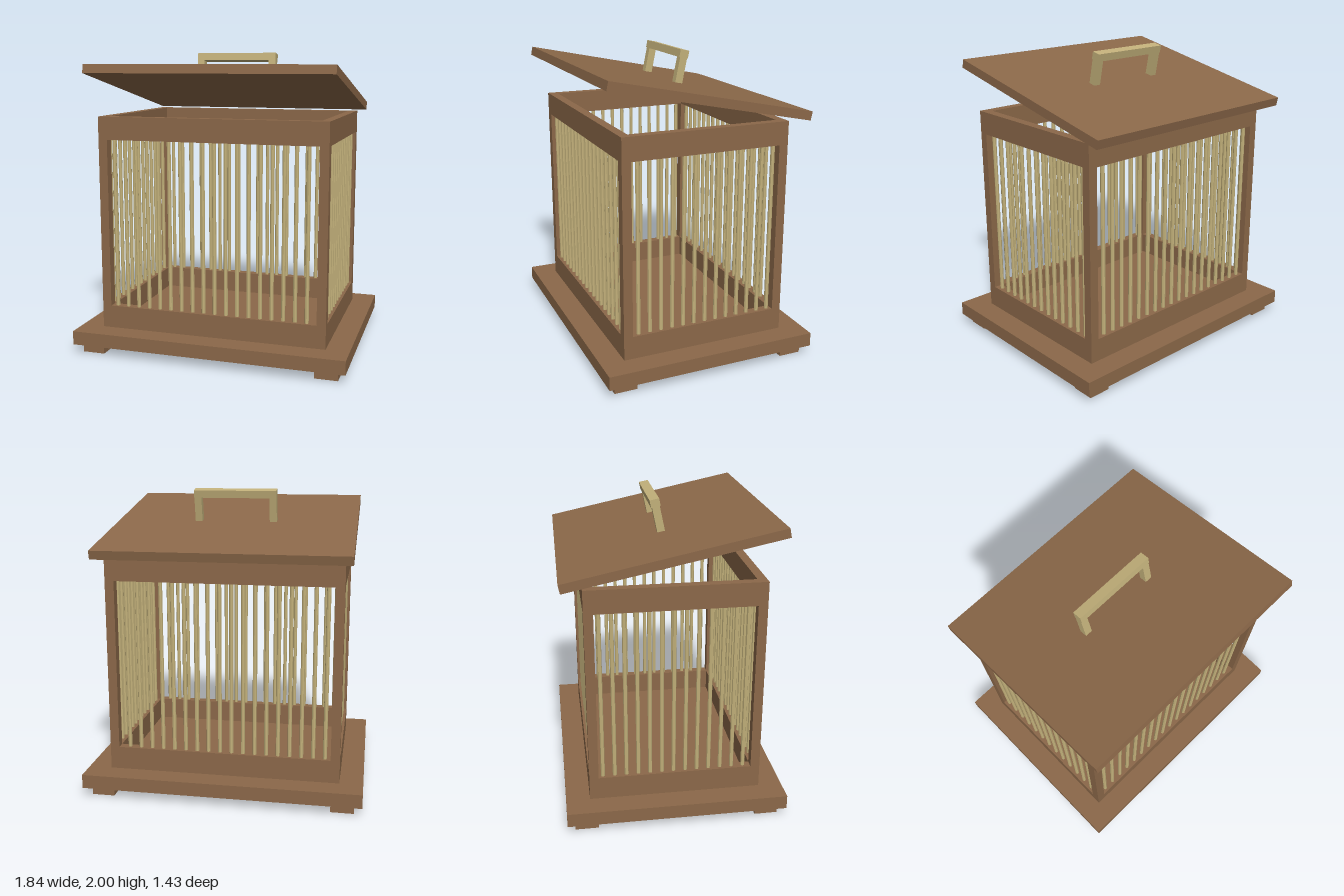
import * as THREE from 'three';

export function createModel() {
  const model = new THREE.Group();
  const wood = new THREE.MeshStandardMaterial({ color: 0x8b6849 });
  wood.name = 'brown wood';
  const cane = new THREE.MeshStandardMaterial({ color: 0xc2b07a });
  cane.name = 'pale cane';
  cane.flatShading = true;

  function box(parent, name, material, size, position) {
    const mesh = new THREE.Mesh(new THREE.BoxGeometry(...size), material);
    mesh.name = name;
    mesh.position.set(...position);
    parent.add(mesh);
    return mesh;
  }
  function group(name) {
    const g = new THREE.Group();
    g.name = name;
    model.add(g);
    return g;
  }

  // Base board on four feet
  const baseTop = 0.154;
  box(model, 'baseBoard', wood, [1.84, 0.092, 1.43], [0, 0.108, 0]);
  for (const sx of [-1, 1]) {
    for (const sz of [-1, 1]) {
      box(model, 'foot', wood, [0.15, 0.062, 0.15], [sx * 0.793, 0.031, sz * 0.59]);
    }
  }

  // Frame: corner posts with broad rails at the bottom and top
  const frame = group('frame');
  const halfX = 0.767, halfZ = 0.56, post = 0.06, frameTop = 1.587, railHeight = 0.152;
  const wallX = halfX - post / 2, wallZ = halfZ - post / 2;
  for (const sx of [-1, 1]) {
    for (const sz of [-1, 1]) {
      box(frame, 'cornerPost', wood, [post, frameTop - baseTop, post],
        [sx * wallX, (frameTop + baseTop) / 2, sz * wallZ]);
    }
  }
  for (const y of [baseTop + railHeight / 2, frameTop - railHeight / 2]) {
    for (const s of [-1, 1]) {
      box(frame, 'longRail', wood, [2 * (halfX - post), railHeight, post], [0, y, s * wallZ]);
      box(frame, 'sideRail', wood, [post, railHeight, 2 * (halfZ - post)], [s * wallX, y, 0]);
    }
  }

  // Thin upright bars filling the four openings
  const bars = group('bars');
  const barBottom = baseTop + railHeight, barTop = frameTop - railHeight;
  const barGeometry = new THREE.CylinderGeometry(0.0135, 0.0135, barTop - barBottom, 8);
  function bar(x, z) {
    const mesh = new THREE.Mesh(barGeometry, cane);
    mesh.name = 'bar';
    mesh.position.set(x, (barBottom + barTop) / 2, z);
    bars.add(mesh);
  }
  const spacing = 0.0768;
  for (const s of [-1, 1]) {
    for (let i = 0; i < 18; i++) bar(-0.668 + i * spacing, s * wallZ);
    for (let i = 0; i < 13; i++) bar(s * wallX, -0.47 + i * spacing);
  }

  // Tilted lid, raised at the front, with a bracket handle
  const lid = group('lid');
  lid.position.set(0, 1.757, -0.0185);
  lid.rotation.x = -0.205;
  box(lid, 'lidBoard', wood, [1.634, 0.058, 1.378], [0, 0, 0]);
  for (const s of [-1, 1]) {
    box(lid, 'handleLeg', cane, [0.048, 0.165, 0.05], [s * 0.255, 0.1105, 0]);
  }
  box(lid, 'handleGrip', cane, [0.558, 0.05, 0.062], [0, 0.217, 0]);

  return model;
}
